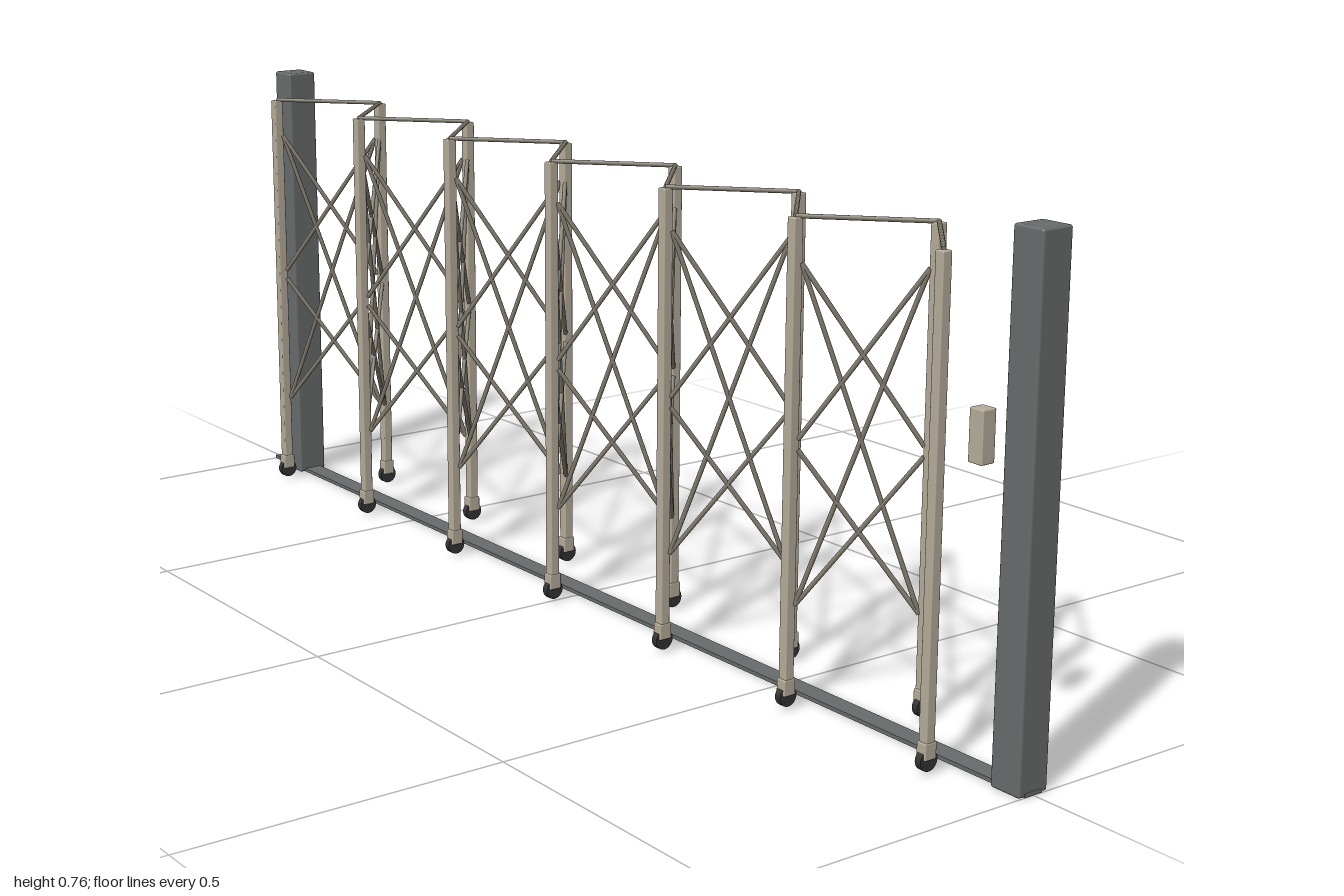
import * as THREE from 'three';
import { RoundedBoxGeometry } from 'three/addons/geometries/RoundedBoxGeometry.js';

const material = (color) => new THREE.MeshStandardMaterial({ color });

export function createModel() {
  const gate = new THREE.Group();
  gate.name = 'foldingGate';
  const beige = material(0xb5ab99);
  const barGrey = material(0x7d776a);
  const pillarGrey = material(0x686b6b);
  const rubber = material(0x333333);

  const add = (parent, name, geometry, mat, x = 0, y = 0, z = 0) => {
    const mesh = new THREE.Mesh(geometry, mat);
    mesh.name = name;
    mesh.position.set(x, y, z);
    parent.add(mesh);
    return mesh;
  };

  // Round bar between two points
  const up = new THREE.Vector3(0, 1, 0);
  const addBar = (parent, name, a, b, radius, mat) => {
    const dir = b.clone().sub(a);
    const bar = add(parent, name, new THREE.CylinderGeometry(radius, radius, dir.length(), 10), mat);
    bar.position.copy(a).add(b).multiplyScalar(0.5);
    bar.quaternion.setFromUnitVectors(up, dir.normalize());
  };

  // Ground track and end pillars
  add(gate, 'groundTrack', new THREE.BoxGeometry(2, 0.006, 0.032), pillarGrey, 0, 0.003, 0);
  for (const x of [-0.911, 0.973]) {
    add(gate, 'pillar', new RoundedBoxGeometry(0.053, 0.757, 0.053, 2, 0.004), pillarGrey, x, 0.3785, 0);
  }

  // Lock box beside the last post
  add(gate, 'lockBox', new RoundedBoxGeometry(0.026, 0.075, 0.024, 2, 0.002), beige, 0.881, 0.463, 0);

  // Zigzag posts on wheels
  const count = 13;
  const spacing = 0.1442;
  const feet = [];
  for (let i = 0; i < count; i++) {
    feet.push(new THREE.Vector3((i - 6) * spacing, 0, i % 2 ? -0.065 : 0.065));
  }
  const postShape = new RoundedBoxGeometry(0.016, 0.68, 0.016, 2, 0.002);
  const sleeveShape = new RoundedBoxGeometry(0.018, 0.025, 0.021, 2, 0.002);
  const wheelShape = new THREE.CylinderGeometry(0.0155, 0.0155, 0.011, 24).rotateZ(Math.PI / 2);
  for (const foot of feet) {
    const post = new THREE.Group();
    post.name = 'wheeledPost';
    post.position.copy(foot);
    add(post, 'upright', postShape, beige, 0, 0.374, 0);
    add(post, 'wheelFork', sleeveShape, beige, 0, 0.0345, 0);
    add(post, 'wheel', wheelShape, rubber, 0, 0.0205, 0);
    gate.add(post);
  }

  // Panels: top rail, one tall cross and two short crosses
  const crosses = [[0.65, 0.157], [0.65, 0.4], [0.385, 0.157]];
  for (let i = 0; i < count - 1; i++) {
    const panel = new THREE.Group();
    panel.name = 'latticePanel';
    const at = (t, y) => feet[i].clone().lerp(feet[i + 1], t).setY(y);
    addBar(panel, 'topRail', at(0, 0.715), at(1, 0.715), 0.0035, barGrey);
    for (const [high, low] of crosses) {
      addBar(panel, 'latticeBar', at(0.05, high), at(0.95, low), 0.0036, barGrey);
      addBar(panel, 'latticeBar', at(0.05, low), at(0.95, high), 0.0036, barGrey);
    }
    gate.add(panel);
  }
  return gate;
}
